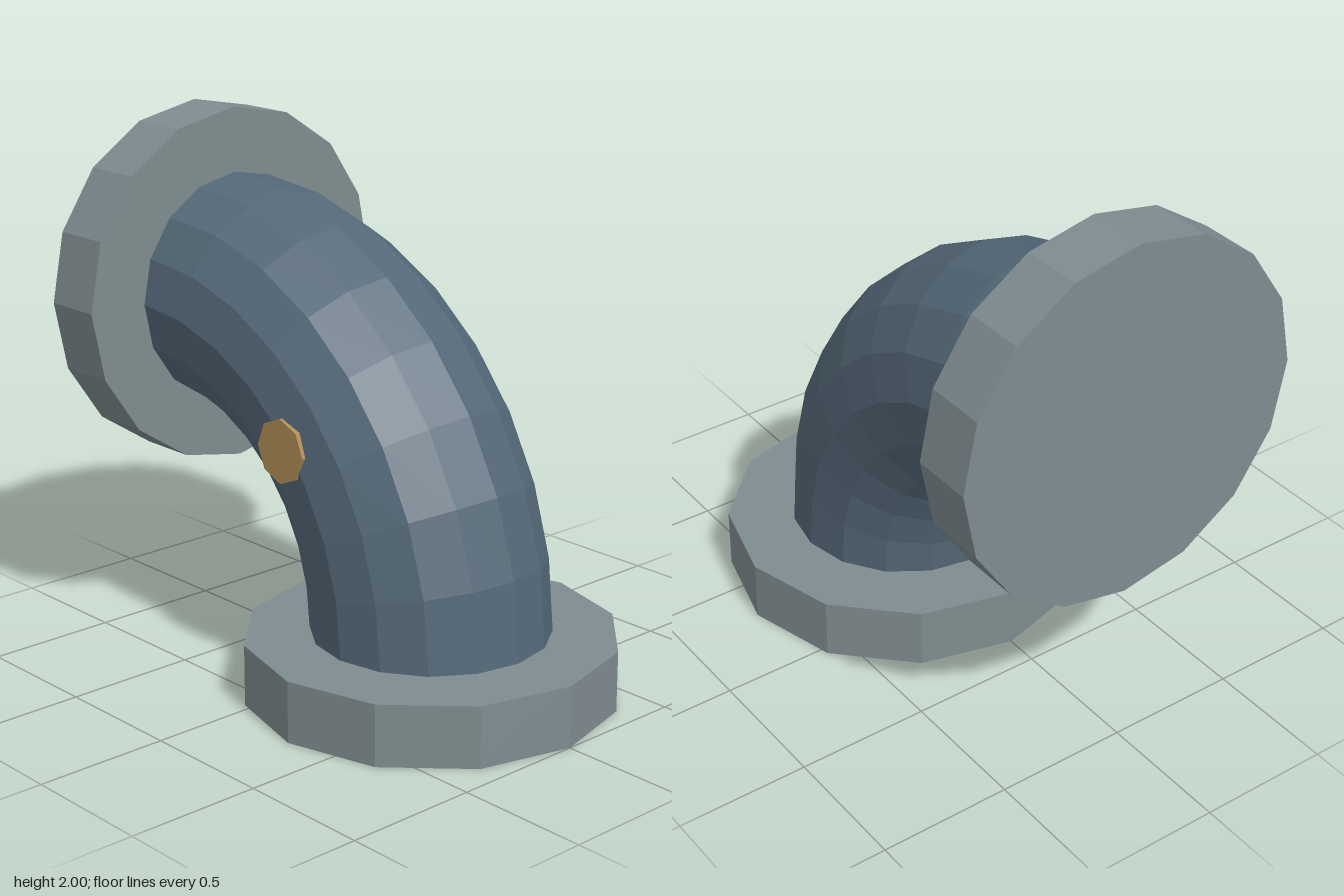
import * as THREE from 'three';

const material = (name, color) => {
  const m = new THREE.MeshStandardMaterial({ color, flatShading: true });
  m.name = name;
  return m;
};

export function createModel() {
  const model = new THREE.Group();
  model.name = 'pipeElbow';
  const flangeGrey = material('flange grey', 0x7f8c90);
  const pipeBlue = material('pipe slate blue', 0x546878);
  const bronze = material('plug bronze', 0xb08d57);

  const add = (name, geometry, mat, x, y, z) => {
    const mesh = new THREE.Mesh(geometry, mat);
    mesh.name = name;
    mesh.position.set(x, y, z);
    model.add(mesh);
    return mesh;
  };

  // Quarter bend: rises from the base flange and turns towards -x
  add('elbowPipe', new THREE.TorusGeometry(1.08, 0.44, 16, 8, Math.PI / 2), pipeBlue, -0.77, 0.235, 0);

  // Flanges closing both ends
  add('baseFlange', new THREE.CylinderGeometry(0.687, 0.687, 0.23, 12), flangeGrey, 0.313, 0.115, 0);
  add('sideFlange', new THREE.CylinderGeometry(0.68, 0.68, 0.235, 16), flangeGrey, -0.8825, 1.32, 0)
    .rotation.z = Math.PI / 2;

  // Small plug set into the front of the bend
  add('plug', new THREE.CylinderGeometry(0.12, 0.12, 0.06, 8), bronze, 0, 0.93, 0.413)
    .rotation.x = Math.PI / 2;

  return model;
}
